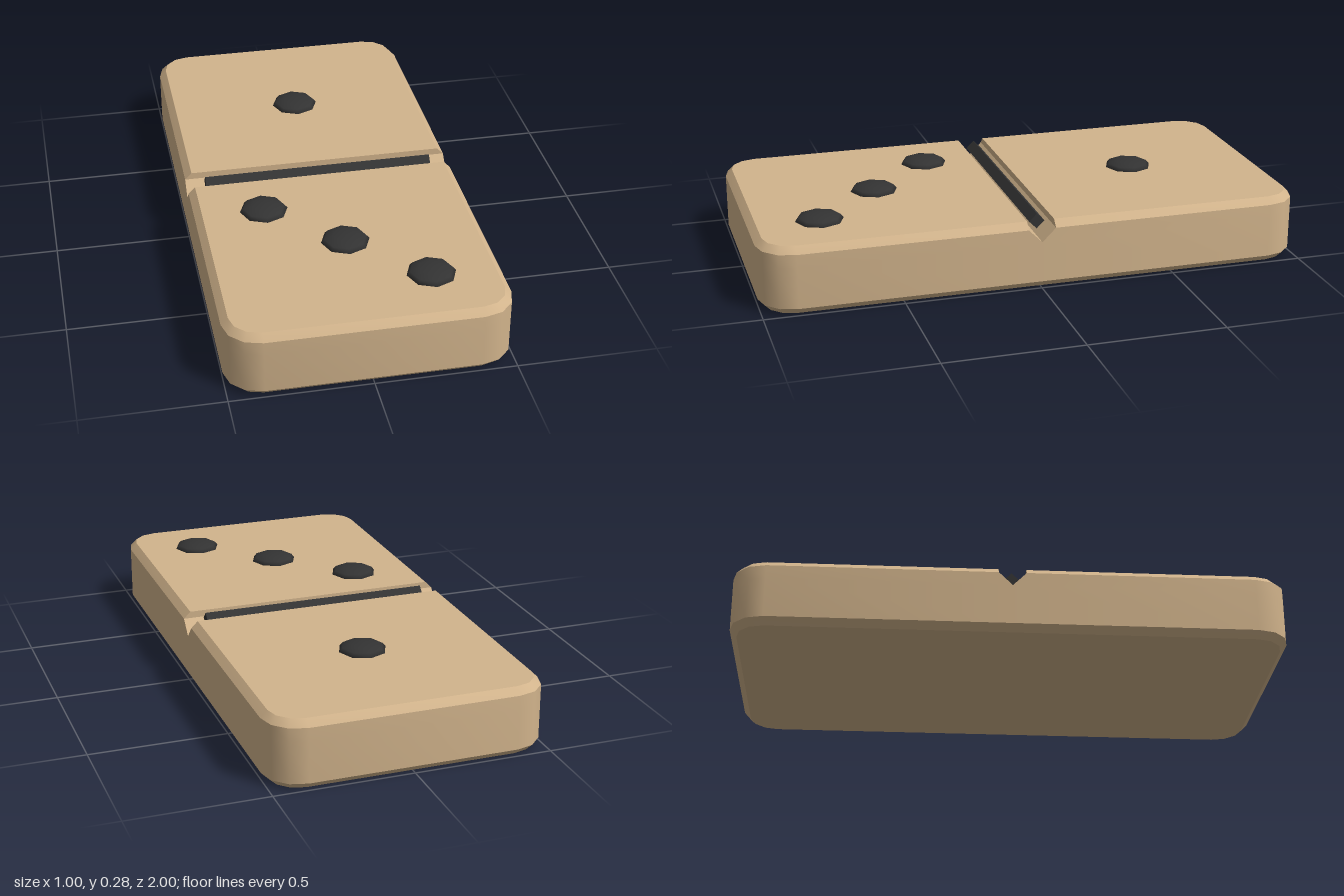
import * as THREE from 'three';
import { toCreasedNormals } from 'three/addons/utils/BufferGeometryUtils.js';

const HALF_WIDTH = 0.5, HALF_LENGTH = 1, RADIUS = 0.125, CHAMFER = 0.025, CORNER_STEPS = 3;

// Levels from the base up: height, inset of the outer rim, position of the groove edge
const LEVELS = [
  [0, CHAMFER, 0],
  [0.025, 0, 0],
  [0.175, 0, 0],
  [0.225, 0, 0.05],
  [0.25, CHAMFER, 0.05],
];

// Outline of one half tile: straight groove edge, two rounded outer corners
function outline([y, inset, inner]) {
  const r = RADIUS - inset, cx = HALF_WIDTH - RADIUS, cz = HALF_LENGTH - RADIUS;
  const points = [[HALF_WIDTH - inset, y, inner]];
  for (const side of [1, -1]) {
    for (let i = 0; i <= CORNER_STEPS; i++) {
      const step = side > 0 ? i : CORNER_STEPS - i;
      const a = (step / CORNER_STEPS) * Math.PI / 2;
      points.push([side * (cx + r * Math.cos(a)), y, cz + r * Math.sin(a)]);
    }
  }
  points.push([-(HALF_WIDTH - inset), y, inner]);
  return points;
}

function halfTileGeometry() {
  const rings = LEVELS.map(outline);
  const n = rings[0].length, top = (rings.length - 1) * n;
  const index = [];
  for (let k = 0; k < rings.length - 1; k++) {
    for (let i = 0; i < n; i++) {
      const a = k * n + i, b = k * n + (i + 1) % n;
      index.push(a, a + n, b + n, a, b + n, b);
    }
  }
  // Flat caps
  for (let i = 1; i < n - 1; i++) {
    index.push(0, i, i + 1, top, top + i + 1, top + i);
  }
  const geometry = new THREE.BufferGeometry();
  geometry.setAttribute('position', new THREE.Float32BufferAttribute(rings.flat(2), 3));
  geometry.setIndex(index);
  return toCreasedNormals(geometry, 0.6);
}

export function createModel() {
  const model = new THREE.Group();
  model.name = 'dominoTile';
  const wood = new THREE.MeshStandardMaterial({ color: 0xd2b48c });
  wood.name = 'tan wood';
  const dark = new THREE.MeshStandardMaterial({ color: 0x333333 });
  dark.name = 'dark grey';

  const add = (name, geometry, material) => {
    const mesh = new THREE.Mesh(geometry, material);
    mesh.name = name;
    model.add(mesh);
    return mesh;
  };

  // Two halves meeting in a V-shaped groove
  const half = halfTileGeometry();
  add('frontHalf', half, wood);
  add('backHalf', half, wood).rotation.y = Math.PI;

  // Square bar lying on edge in the groove
  const bar = add('dividerBar', new THREE.BoxGeometry(0.86, 0.04, 0.04), dark);
  bar.position.y = 0.23;
  bar.rotation.x = Math.PI / 4;

  // Low domed pips: one at the back, a diagonal three at the front
  const dome = new THREE.SphereGeometry(0.0875, 8, 6);
  dome.scale(1, 0.31, 1);
  [[0, -0.5], [-0.25, 0.25], [0, 0.5], [0.25, 0.75]].forEach(([x, z], i) => {
    add('pip' + (i + 1), dome, dark).position.set(x, 0.25, z);
  });

  return model;
}
